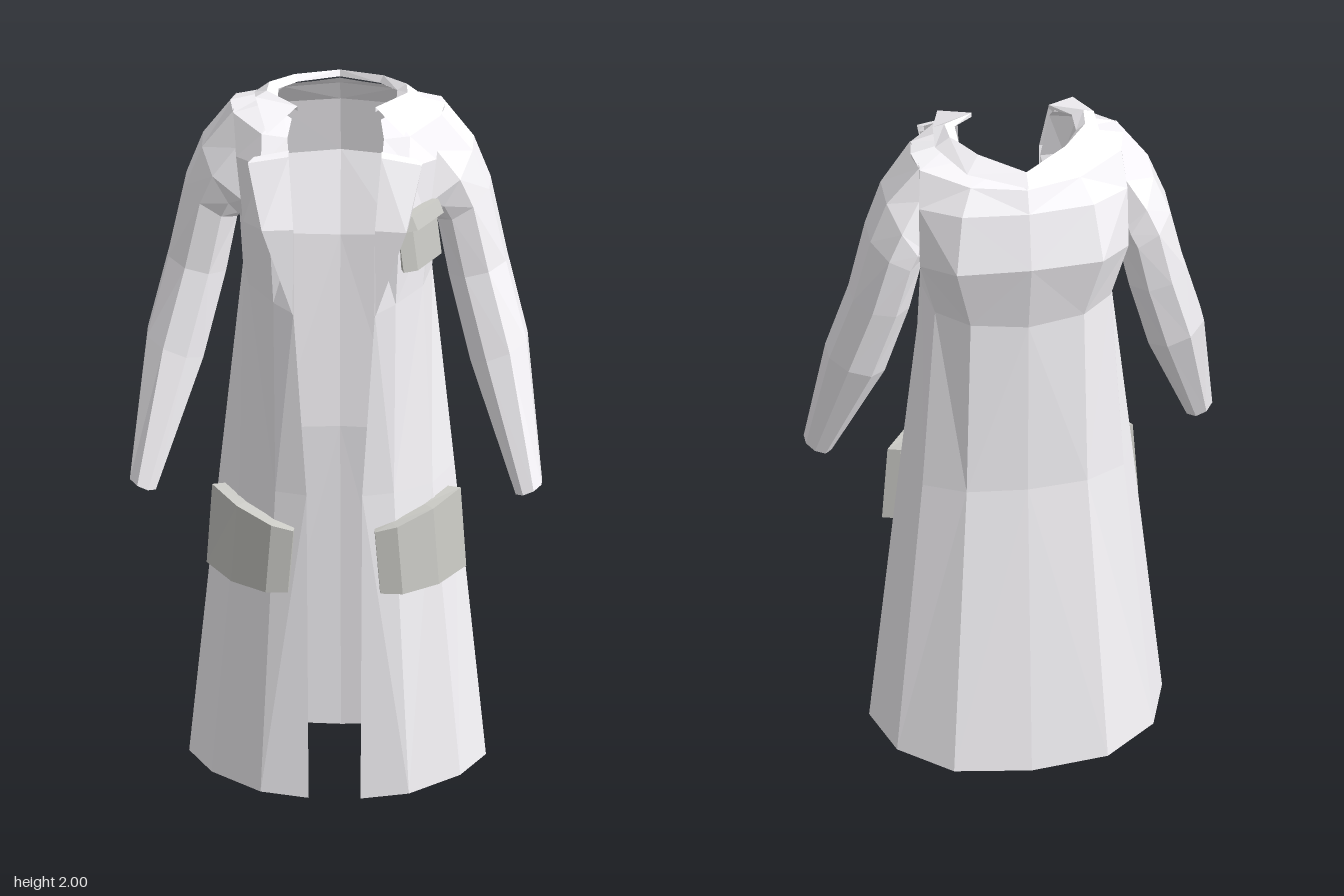
import * as THREE from 'three';

const makeMaterial = (color) => new THREE.MeshStandardMaterial({ color, flatShading: true, side: THREE.DoubleSide });
const cloth = makeMaterial(0xfdfbff);
const pocketCloth = makeMaterial(0xccccc7);

const gap = (p, q) => Math.hypot(p[0] - q[0], p[1] - q[1], p[2] - q[2]);

// Skin a grid of points: rows run upward, points in a row run leftward seen from outside.
// Each quad is split along its shorter diagonal, so mirrored parts match.
function skin(name, rows, material, closed = false) {
  const pos = [];
  const n = rows[0].length;
  for (let v = 0; v < rows.length - 1; v++) {
    for (let u = 0; u < (closed ? n : n - 1); u++) {
      const w = (u + 1) % n;
      const a = rows[v][u], b = rows[v][w], c = rows[v + 1][w], d = rows[v + 1][u];
      if (gap(b, d) < gap(a, c)) pos.push(...a, ...d, ...b, ...b, ...d, ...c);
      else pos.push(...a, ...d, ...c, ...a, ...c, ...b);
    }
  }
  const geo = new THREE.BufferGeometry();
  geo.setAttribute('position', new THREE.Float32BufferAttribute(pos, 3));
  geo.computeVertexNormals();
  const mesh = new THREE.Mesh(geo, material);
  mesh.name = name;
  return mesh;
}

const flip = ([x, y, z]) => [-x, y, z];
const mirrorRows = (rows) => rows.map((r) => r.map(flip).reverse());
// Half row from front edge to centre back -> full row around the body
const wrap = (half) => [...half.map(flip), ...half.slice(0, -1).reverse()];

// Curved slab following a path of [x, z, topY, bottomY, depthX, depthZ]
function pocketRows(path) {
  const rows = path.map(([x, z, top, bottom, dx, dz]) => [
    [x + 0.015, bottom, z], [x, top, z], [x - dx, top, z - dz], [x + 0.015 - dx, bottom, z - dz],
  ]);
  const cap = (r) => r.map(() => [0, 1, 2].map((k) => r.reduce((s, p) => s + p[k], 0) / 4));
  return [cap(rows[0]), ...rows, cap(rows[rows.length - 1])];
}

export function createModel() {
  const coat = new THREE.Group();
  coat.name = 'coat';

  // Body shell: half cross-sections from the front opening to the centre back
  const body = [
    [[0.07, 0.01, 0.23], [0.2, 0.02, 0.215], [0.335, 0.035, 0.12], [0.4, 0.04, -0.01], [0.35, 0.035, -0.17], [0.21, 0.015, -0.265], [0, 0.003, -0.28]],
    [[0.075, 0.91, 0.25], [0.16, 0.91, 0.225], [0.26, 0.9, 0.13], [0.315, 0.9, -0.01], [0.275, 0.9, -0.135], [0.165, 0.91, -0.2], [0, 0.91, -0.215]],
    [[0.11, 1.45, 0.262], [0.165, 1.47, 0.235], [0.235, 1.48, 0.13], [0.255, 1.48, -0.01], [0.24, 1.48, -0.13], [0.155, 1.48, -0.205], [0, 1.47, -0.225]],
    [[0.11, 1.68, 0.25], [0.175, 1.68, 0.25], [0.25, 1.66, 0.125], [0.265, 1.64, -0.01], [0.285, 1.66, -0.155], [0.2, 1.69, -0.252], [0, 1.7, -0.275]],
    [[0.125, 1.86, 0.19], [0.2, 1.85, 0.185], [0.27, 1.84, 0.1], [0.265, 1.82, -0.01], [0.285, 1.84, -0.135], [0.18, 1.86, -0.218], [0, 1.865, -0.24]],
    [[0.13, 1.915, 0.14], [0.2, 1.92, 0.13], [0.28, 1.94, 0.035], [0.29, 1.95, -0.03], [0.275, 1.94, -0.095], [0.15, 1.925, -0.175], [0, 1.925, -0.21]],
    [[0.12, 1.95, 0.09], [0.145, 1.96, 0.075], [0.17, 1.975, 0.03], [0.17, 1.98, -0.03], [0.12, 1.97, -0.1], [0.065, 1.955, -0.15], [0, 1.95, -0.185]],
  ];
  coat.add(skin('body', body.map(wrap), cloth));

  // Folded collar lying on the shoulders
  const collar = [
    [[0.185, 1.935, 0.165], [0.22, 1.985, 0.03], [0.225, 1.97, -0.04], [0.155, 1.952, -0.15], [0, 1.942, -0.225]],
    [[0.105, 1.982, 0.08], [0.19, 2.0, 0.02], [0.185, 2.0, -0.04], [0.12, 1.99, -0.115], [0, 1.972, -0.19]],
    [[0.105, 1.968, 0.08], [0.16, 1.98, 0.03], [0.16, 1.98, -0.04], [0.11, 1.97, -0.11], [0, 1.955, -0.183]],
  ];
  coat.add(skin('collar', collar.map(wrap), cloth));

  // Sleeve rings: outer x, y, inner x, y, centre z, half depth
  const rings = [
    [0.555, 0.9, 0.485, 0.87, 0.115, 0.045],
    [0.512, 1.28, 0.36, 1.22, 0.005, 0.08],
    [0.455, 1.5, 0.3, 1.46, -0.035, 0.09],
    [0.41, 1.71, 0.27, 1.62, -0.045, 0.11],
    [0.365, 1.83, 0.26, 1.64, -0.035, 0.122],
  ];
  const sides = 8;
  const sleeve = rings.map(([ox, oy, ix, iy, cz, d]) => Array.from({ length: sides }, (_, i) => {
    const a = ((i + 0.5) / sides) * Math.PI * 2;
    const s = -Math.sin(a) * 0.54, c = Math.cos(a) * 1.08;
    return [(ox + ix) / 2 + (ox - ix) * s, (oy + iy) / 2 + (oy - iy) * s, cz + d * c];
  }));
  // Armhole seam, where the sleeve meets the body
  sleeve.push([
    [0.255, 1.72, 0.117], [0.25, 1.65, 0.08], [0.26, 1.65, -0.1], [0.284, 1.72, -0.148],
    [0.283, 1.86, -0.129], [0.275, 1.945, -0.09], [0.28, 1.945, 0.033], [0.271, 1.86, 0.088],
  ]);

  // Lapel folded back from the front opening, with a thin turned edge
  const lapel = [
    [[0.112, 1.45, 0.258], [0.112, 1.45, 0.268], [0.108, 1.45, 0.268]],
    [[0.2, 1.7, 0.24], [0.195, 1.7, 0.278], [0.11, 1.7, 0.268]],
    [[0.235, 1.86, 0.175], [0.235, 1.865, 0.2], [0.125, 1.885, 0.2]],
    [[0.22, 1.87, 0.165], [0.22, 1.875, 0.18], [0.125, 1.895, 0.18]],
  ];

  // Hip pocket wrapping from the front to the side
  const hipPocket = pocketRows([
    [0.11, 0.264, 0.81, 0.63, 0.003, 0.028],
    [0.17, 0.262, 0.825, 0.628, 0.015, 0.035],
    [0.265, 0.19, 0.85, 0.628, 0.025, 0.03],
    [0.335, 0.08, 0.865, 0.635, 0.035, 0.01],
  ]);

  for (const [side, place] of [['left', (r) => r], ['right', mirrorRows]]) {
    coat.add(skin(`${side}Sleeve`, place(sleeve), cloth, true));
    coat.add(skin(`${side}Lapel`, place(lapel), cloth));
    coat.add(skin(`${side}HipPocket`, place(hipPocket), pocketCloth, true));
  }

  // Breast pocket on the left chest with a flap along its top
  const chest = (top, bottom, out) => pocketRows([
    [0.172, 0.25 + out, top, bottom, 0.01, 0.035],
    [0.21, 0.232 + out, top, bottom, 0.03, 0.03],
    [0.27 + out, 0.115, top, bottom, 0.04, 0.02],
  ]);
  coat.add(skin('breastPocket', chest(1.7, 1.57, 0), pocketCloth, true));
  coat.add(skin('breastPocketFlap', chest(1.73, 1.69, 0.006), pocketCloth, true));

  return coat;
}
